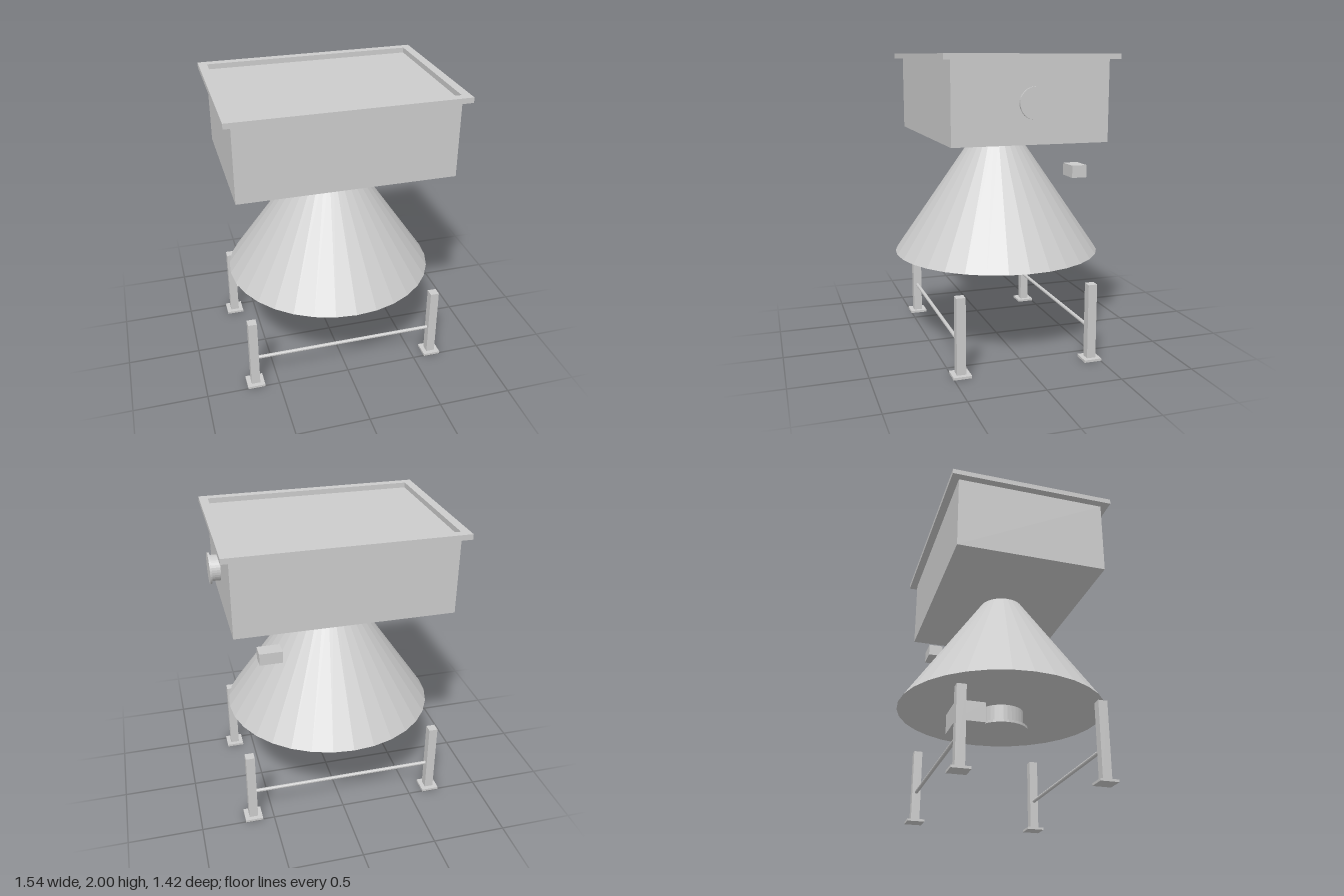
import * as THREE from 'three';

const CX = -0.01; // axis of the hopper and cone
const mat = new THREE.MeshStandardMaterial({ color: 0xcccccc, flatShading: true });

export function createModel() {
  const root = new THREE.Group();

  const add = (name, geometry, x, y, z) => {
    const mesh = new THREE.Mesh(geometry, mat);
    mesh.name = name;
    mesh.position.set(x, y, z);
    root.add(mesh);
    return mesh;
  };
  // box given by its centre in x and z and its bottom and top in y
  const box = (name, w, d, y0, y1, x, z) =>
    add(name, new THREE.BoxGeometry(w, y1 - y0, d), x, (y0 + y1) / 2, z);
  // upright round part given by its bottom and top in y
  const round = (name, rTop, rBottom, y0, y1) =>
    add(name, new THREE.CylinderGeometry(rTop, rBottom, y1 - y0, 32), CX, (y0 + y1) / 2, 0);
  // round part lying along x
  const roundX = (name, r, x0, x1, y, z, sides = 32) => {
    const geometry = new THREE.CylinderGeometry(r, r, x1 - x0, sides).rotateZ(Math.PI / 2);
    return add(name, geometry, (x0 + x1) / 2, y, z);
  };

  // Rectangular hopper with a raised frame around its top
  box('hopperBody', 1.42, 1.01, 1.455, 1.965, CX, 0);
  const rect = (Type, w, d) => new Type([
    new THREE.Vector2(-w / 2, -d / 2), new THREE.Vector2(w / 2, -d / 2),
    new THREE.Vector2(w / 2, d / 2), new THREE.Vector2(-w / 2, d / 2),
  ]);
  const frame = rect(THREE.Shape, 1.52, 1.115);
  frame.holes.push(rect(THREE.Path, 1.405, 1.0));
  const rim = new THREE.ExtrudeGeometry(frame, { depth: 0.035, bevelEnabled: false });
  add('hopperRim', rim.rotateX(-Math.PI / 2), CX, 1.965, 0);

  // Flanged port on the left wall
  roundX('sidePort', 0.083, 0.69, 0.757, 1.71, 0);
  roundX('sidePortFlange', 0.1, 0.757, 0.77, 1.71, 0);

  // Cone, its outlet and the outlet flange
  round('cone', 0.15, 0.71, 0.642, 1.456);
  round('outletPipe', 0.15, 0.15, 0.51, 0.645);
  round('outletFlange', 0.18, 0.18, 0.51, 0.528);

  // Drive housing behind the outlet and the separate control box
  box('driveHousing', 0.3, 0.2, 0.502, 0.643, CX, -0.25);
  box('controlBox', 0.15, 0.1, 1.21, 1.29, 0.465, -0.39);

  // Legs with foot plates, joined by a rail at the front and the back
  for (const z of [-0.445, 0.445]) {
    for (const side of [-1, 1]) {
      const x = CX + side * 0.65;
      box('leg', 0.06, 0.06, 0.01, 0.52, x, z);
      box('footPlate', 0.12, 0.12, 0, 0.016, x, z);
    }
    roundX('crossRail', 0.0125, CX - 0.64, CX + 0.64, 0.217, z, 12);
  }

  return root;
}
